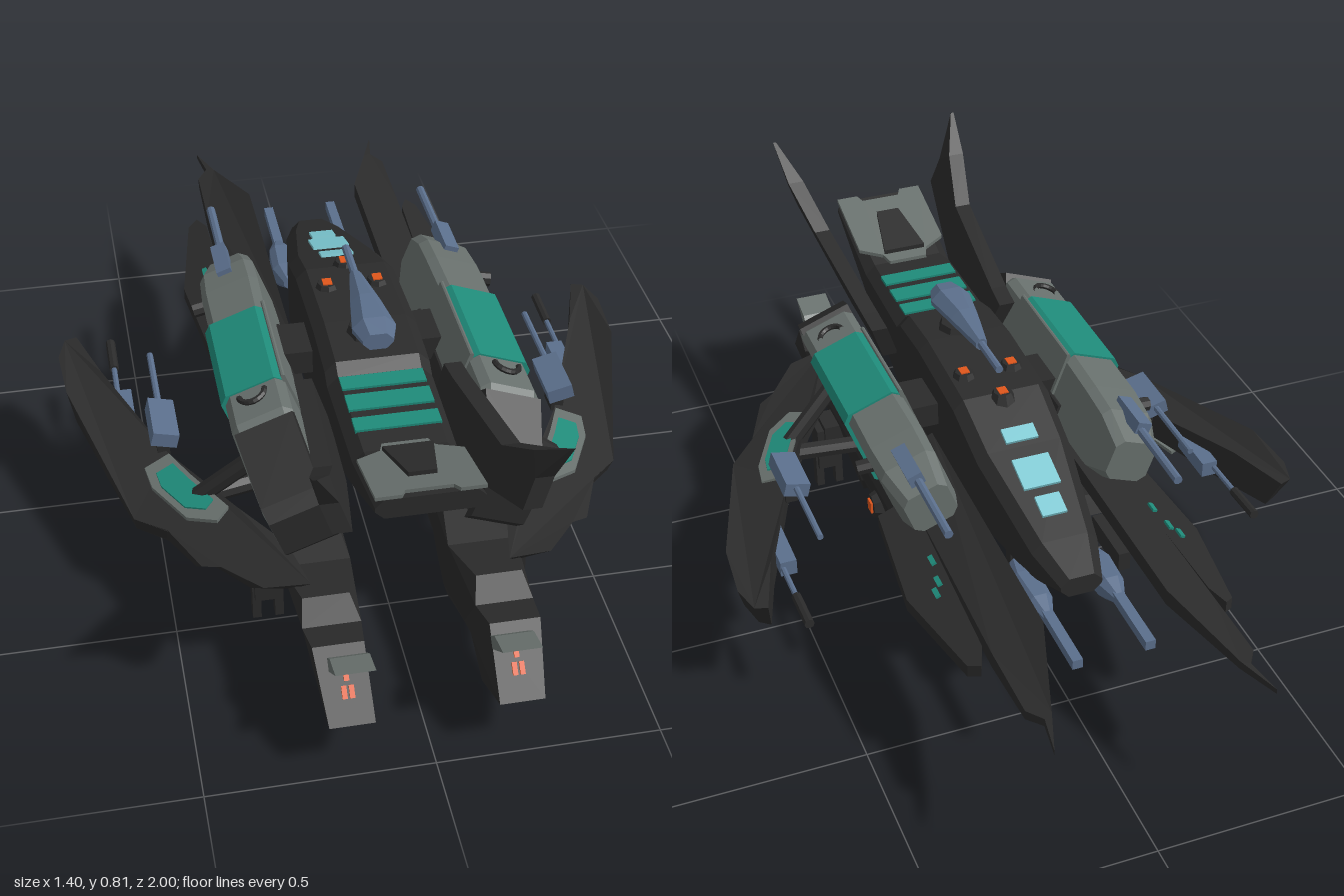
import * as THREE from 'three';

const mat = (name, color) => Object.assign(new THREE.MeshStandardMaterial({ color }), { name });

export function createModel() {
  const model = new THREE.Group();
  model.name = 'ship';
  const dark = mat('dark hull', 0x2b2b2b), grey = mat('grey armour', 0x68706d);
  const teal = mat('teal panels', 0x1f8b7a), blue = mat('blue gunmetal', 0x5b6f8c);
  const glass = mat('pale glass', 0x7cc8d2), orange = mat('orange lights', 0xe0561c);

  // Makes faces flat and outward, optionally mirrored in x
  function solid(source, mirror = false) {
    const g = source.index ? source.toNonIndexed() : source.clone();
    if (mirror) g.scale(-1, 1, 1);
    const p = g.attributes.position, v = [0, 1, 2].map(() => new THREE.Vector3());
    let volume = 0;
    for (let i = 0; i < p.count; i += 3) {
      v.forEach((q, k) => q.fromBufferAttribute(p, i + k));
      volume += v[0].dot(v[1].clone().cross(v[2]));
    }
    if (volume < 0) for (let i = 0; i < p.count; i += 3) {
      v.forEach((q, k) => q.fromBufferAttribute(p, i + k));
      p.setXYZ(i + 1, v[2].x, v[2].y, v[2].z);
      p.setXYZ(i + 2, v[1].x, v[1].y, v[1].z);
    }
    g.clearGroups();
    g.computeVertexNormals();
    return g;
  }
  function add(name, g, m, mirror = false) {
    const mesh = new THREE.Mesh(solid(g, mirror), m);
    mesh.name = name;
    model.add(mesh);
  }
  function pair(name, g, m) {
    add(name + 'Left', g, m);
    add(name + 'Right', g, m, true);
  }
  // Skin over equal-length rings of [x, y, z], closed at both ends
  function loft(rings) {
    const n = rings[0].length, index = [];
    for (let r = 0; r < rings.length - 1; r++) for (let i = 0; i < n; i++) {
      const a = r * n + i, b = r * n + (i + 1) % n;
      index.push(a, b, b + n, a, b + n, a + n);
    }
    const e = (rings.length - 1) * n;
    for (let i = 1; i < n - 1; i++) index.push(0, i + 1, i, e, e + i, e + i + 1);
    const g = new THREE.BufferGeometry();
    g.setAttribute('position', new THREE.Float32BufferAttribute(rings.flat(2), 3));
    g.setIndex(index);
    return g;
  }
  // Chamfered rectangular ring
  const ring = (z, w, y0, y1, c = 0.025, x = 0) => {
    const k = Math.min(c, (y1 - y0) * 0.4, w * 0.6);
    return [[w - k, y0], [w, y0 + k], [w, y1 - k], [w - k, y1], [k - w, y1], [-w, y1 - k], [-w, y0 + k], [k - w, y0]]
      .map(([a, b]) => [a + x, b, z]);
  };
  // Extruded outline whose points are placed by a rule f(u, v, t)
  function prism(points, f) {
    const g = new THREE.ExtrudeGeometry(new THREE.Shape(points.map(p => new THREE.Vector2(...p))), { depth: 1, bevelEnabled: false });
    const p = g.attributes.position;
    for (let i = 0; i < p.count; i++) p.setXYZ(i, ...f(p.getX(i), p.getY(i), p.getZ(i)));
    return g;
  }
  const box = (w, h, d, x, y, z, tilt = 0, pitch = 0) =>
    new THREE.BoxGeometry(w, h, d).rotateX(pitch).rotateZ(tilt).translate(x, y, z);
  function rod(a, b, r) {
    const A = new THREE.Vector3(...a), d = new THREE.Vector3(...b).sub(A);
    return new THREE.CylinderGeometry(r, r, d.length(), 8)
      .applyQuaternion(new THREE.Quaternion().setFromUnitVectors(new THREE.Vector3(0, 1, 0), d.clone().normalize()))
      .translate(...A.addScaledVector(d, 0.5).toArray());
  }

  // Central hull, rising into the tail
  add('hull', loft([[-0.55, 0.05, 0.37, 0.42], [-0.45, 0.08, 0.34, 0.455], [-0.2, 0.115, 0.33, 0.54],
    [-0.05, 0.12, 0.33, 0.595], [0.2, 0.12, 0.33, 0.61], [0.34, 0.12, 0.34, 0.6], [0.37, 0.12, 0.36, 0.58],
    [0.64, 0.115, 0.47, 0.58], [0.88, 0.115, 0.6, 0.648]].map(s => ring(...s))), dark);
  add('tailPlate', prism([[-0.05, 0.63], [0.05, 0.63], [0.06, 0.66], [0.115, 0.69], [0.115, 0.88], [0.06, 0.88], [0.05, 0.86], [-0.05, 0.86], [-0.06, 0.88], [-0.115, 0.88], [-0.115, 0.69], [-0.06, 0.66]],
    (x, z, t) => [x, 0.58 + Math.max(0, z - 0.64) * 0.283 + t * 0.009, z]), grey);
  add('tailHatch', prism([[-0.055, 0.66], [0.055, 0.66], [0.03, 0.8], [-0.03, 0.8]], (x, z, t) => [x, 0.58 + (z - 0.64) * 0.283 + t * 0.02, z]), dark);
  add('tailHatchCap', box(0.04, 0.02, 0.06, 0, 0.617, 0.74, 0, -0.28), grey);
  [[0.4, 0.045], [0.472, 0.055], [0.55, 0.045]].forEach(([z, d]) => add('tealStripe', box(0.19, 0.009, d, 0, 0.581, z), teal));

  // Cockpit windows and lights on the spine
  [[-0.365, 0.055, 0.06], [-0.275, 0.085, 0.09], [-0.17, 0.04, 0.08]].forEach(([z, d, w]) => {
    const slope = z < -0.2 ? 0.34 : 0.367;
    add('cockpitWindow', box(w, 0.009, d, 0, 0.54 + (z + 0.2) * slope + 0.003, z, 0, -Math.atan(slope)), glass);
  });
  [[0, -0.06, 0.59], [-0.06, 0.04, 0.598], [0.06, 0.04, 0.598]].forEach(([x, z, y]) => {
    add('sensorDome', new THREE.CylinderGeometry(0.022, 0.036, 0.03, 8).translate(x, y, z), dark);
    add('sensorLight', box(0.022, 0.008, 0.026, x, y + 0.014, z), orange);
  });

  // Top turret
  add('turretBase', new THREE.CylinderGeometry(0.045, 0.055, 0.025, 8).translate(0, 0.612, 0.24), dark);
  add('turret', loft([[0.35, 0.035, 0.63, 0.67], [0.3, 0.05, 0.62, 0.682], [0.2, 0.035, 0.625, 0.68], [0.08, 0.014, 0.635, 0.665]].map(s => ring(...s))), blue);
  add('turretBarrel', rod([0, 0.65, 0.1], [0, 0.652, -0.04], 0.01), blue);

  // Raised tail fins leaning outward
  pair('tailFin', prism([[0.35, 0.57], [0.42, 0.58], [0.75, 0.645], [0.88, 0.73], [0.98, 0.805], [0.93, 0.7], [0.94, 0.63], [0.76, 0.55], [0.62, 0.49], [0.38, 0.47]],
    (z, y, t) => [0.14 + (y - 0.48) * 0.345 + (t - 0.5) * (y > 0.75 ? 0.008 : 0.04), y, z]), dark);

  // Forward prongs, their outer edges lower
  pair('innerProng', prism([[0.25, -1], [0.215, -0.9], [0.145, -0.68], [0.14, 0.05], [0.25, 0.05], [0.262, -0.68], [0.262, -0.87], [0.235, -0.91]],
    (x, z, t) => {
      const k = Math.min(1, (z + 1) / 0.35);
      return [x, 0.39 + k * (0.045 - (x - 0.145) * 0.5) - (t - 0.2) * (0.012 + 0.03 * k), z];
    }), dark);
  pair('outerProng', prism([[0.29, -0.69], [0.27, -0.64], [0.25, -0.1], [0.33, -0.1], [0.36, -0.4], [0.315, -0.67]],
    (x, z, t) => [x, 0.385 - (x - 0.25) * 0.4 - t * 0.03, z]), dark);
  [[0.3, -0.43], [0.285, -0.4], [0.275, -0.33]].forEach(([x, z]) =>
    pair('prongMark', box(0.012, 0.008, 0.03, x, 0.387 - (x - 0.25) * 0.4, z, -0.38), teal));
  pair('noseGun', loft([[-0.37, 0.015, 0.33, 0.36], [-0.43, 0.034, 0.3, 0.37], [-0.52, 0.03, 0.31, 0.37], [-0.57, 0.012, 0.33, 0.355]].map(([z, w, a, b]) => ring(z, w, a, b, 0.015, 0.087))), blue);
  pair('noseGunBarrel', box(0.024, 0.024, 0.18, 0.086, 0.345, -0.645), blue);
  add('chin', loft([[-0.35, 0.06, 0.31, 0.36], [-0.1, 0.1, 0.29, 0.36], [0.15, 0.1, 0.29, 0.36]].map(s => ring(...s))), dark);

  // Side pods tilted outward at the top
  const tilt = 0.36, podX = 0.245, podY = 0.455;
  const podPoint = (u, v, z) => [podX + u * Math.cos(tilt) + v * Math.sin(tilt), podY - u * Math.sin(tilt) + v * Math.cos(tilt), z];
  const pod = list => loft(list.map(([z, w, a, b, x]) => ring(z, w, a, b, 0.018, x).map(([u, v]) => podPoint(u, v, z))));
  pair('podFront', pod([[0.65, 0.06, -0.1, -0.015], [0.62, 0.068, -0.115, 0.01], [0.45, 0.072, -0.115, 0.112], [0.34, 0.072, -0.115, 0.112]]), grey);
  pair('podMiddle', pod([[0.345, 0.076, -0.113, 0.116, 0.005], [0.06, 0.076, -0.113, 0.116, 0.005]]), teal);
  pair('podInnerPanel', pod([[0.35, 0.005, 0, 0.115, -0.073], [0.05, 0.005, 0, 0.115, -0.073]]), grey);
  pair('podInnerSkirt', pod([[0.5, 0.006, -0.135, 0, -0.073], [0.0, 0.006, -0.135, 0, -0.073]]), dark);
  pair('podRear', pod([[0.07, 0.071, -0.105, 0.111], [-0.08, 0.073, -0.1, 0.108], [-0.17, 0.07, -0.075, 0.1], [-0.255, 0.056, -0.04, 0.065]]), grey);
  // Dark plate wrapping the sloping front of each pod, row by row
  pair('podFrontCover', loft([[0.47, 0.104, 0.064], [0.625, 0.012, 0.064], [0.655, -0.013, 0.06], [0.655, -0.108, 0.06]].map(([z, v, w]) =>
    [[-w - 0.008, 0.006], [w, 0.006], [w, -0.02], [-w - 0.008, -0.02]].map(([u, d]) => podPoint(u, v + d, z + d)))), dark);
  pair('podKeel', pod([[0.6, 0.06, -0.135, -0.1], [0.0, 0.06, -0.135, -0.1]]), dark);
  pair('podGunBody', box(0.036, 0.03, 0.12, 0.28, 0.55, -0.19, -tilt), blue);
  pair('podGunBarrel', rod([0.275, 0.545, -0.2], [0.275, 0.542, -0.45], 0.011), blue);
  pair('podPipe', rod([0.3, 0.5, -0.09], [0.37, 0.49, -0.08], 0.018), dark);
  pair('podHandle', new THREE.TorusGeometry(0.03, 0.007, 6, 10, Math.PI).rotateX(Math.PI / 2).rotateZ(-tilt).translate(0.29, 0.568, 0.375), dark);
  pair('podBracket', box(0.1, 0.06, 0.12, 0.15, 0.49, 0.12), dark);

  // Lower booms with stepped feet
  const half = (y, z) => (0.03 + Math.min(y, 0.24) * 0.2 - Math.max(0, y - 0.25) * 0.5) * (z > 0.65 ? 0.82 : 1);
  pair('lowerBoom', prism([[1, 0.15], [0.88, 0.27], [0.8, 0.25], [0.74, 0.28], [0.6, 0.25], [0.45, 0.28], [0.2, 0.29], [-0.15, 0.31], [-0.17, 0.26], [-0.02, 0.2], [0.1, 0.12],
    [0.4, 0.12], [0.42, 0.06], [0.46, 0], [0.5, 0.005], [0.66, 0.07], [0.73, 0.1], [0.82, 0.04]],
    (z, y, t) => [0.172 + y * 0.07 + (t * 2 - 1) * half(y, z), y, z]), dark);
  pair('boomSpike', prism([[0.998, 0.3], [0.93, 0.282], [0.9, 0.255], [0.92, 0.235]], (z, y, t) => [0.133 + t * 0.085, y, z]), grey);
  [[0.175, 0.2], [0.191, 0.2], [0.183, 0.226]].forEach(([x, y]) =>
    pair('boomFrontLight', box(0.011, 0.028, 0.008, x, y, 1.151 - y, 0, -Math.PI / 4), orange));
  pair('boomSideDome', new THREE.CylinderGeometry(0.03, 0.045, 0.035, 8).rotateZ(-Math.PI / 2).translate(0.255, 0.185, 0.15), dark);
  pair('boomSideLight', box(0.008, 0.03, 0.028, 0.274, 0.187, 0.15), orange);

  // Swept lower wings: front halves fall outward, undersides form a keel
  const wing = [[0.65, -0.28], [0.68, -0.27], [0.7, -0.2], [0.69, -0.05], [0.62, 0.2], [0.57, 0.37], [0.5, 0.44], [0.44, 0.58], [0.4, 0.6], [0.32, 0.7], [0.22, 0.72], [0.25, 0.58], [0.34, 0.44], [0.47, 0.2], [0.6, -0.12]];
  const panel = [[0.53, 0.23], [0.47, 0.21], [0.43, 0.3], [0.36, 0.44], [0.39, 0.47], [0.455, 0.43], [0.52, 0.3]];
  const underPanel = [[0.57, 0.1], [0.53, 0.08], [0.43, 0.3], [0.37, 0.44], [0.4, 0.47], [0.47, 0.42], [0.55, 0.2]];
  const wingTop = (x, z) => z > 0.1 ? Math.min(0.3, 0.438 - z * 0.083 - x * 0.29) : 0.31;
  const keel = x => Math.min(0.24, 0.19 + Math.abs(x - 0.55) * 0.35);
  pair('wing', prism(wing, (x, z, t) => {
    const s = 0.9 + 0.1 * t, X = 0.52 + (x - 0.52) * s, Z = 0.15 + (z - 0.15) * s;
    return [X, t ? wingTop(X, Z) : keel(X), Z];
  }), dark);
  const inlay = (name, outline, cz, height, s, m) => pair(name, prism(outline, (x, z, t) => {
    const X = 0.455 + (x - 0.455) * s, Z = cz + (z - cz) * s;
    return [X, height(X, Z) + t * 0.009, Z];
  }), m);
  inlay('wingPanel', panel, 0.335, (x, z) => wingTop(x, z), 1, grey);
  inlay('wingPanelInset', panel, 0.335, (x, z) => wingTop(x, z) + 0.004, 0.68, teal);
  inlay('wingUnderPanel', underPanel, 0.3, x => keel(x) - 0.012, 1, grey);
  inlay('wingUnderInset', underPanel, 0.3, x => keel(x) - 0.016, 0.65, teal);
  pair('wingGunPost', box(0.03, 0.06, 0.06, 0.48, 0.3, 0.16), dark);
  pair('wingGun', box(0.062, 0.036, 0.14, 0.477, 0.34, 0.15, 0.25), blue);
  pair('wingGunBarrel', rod([0.478, 0.345, 0.1], [0.478, 0.345, -0.12], 0.008), blue);
  pair('innerGun', box(0.04, 0.04, 0.14, 0.552, 0.25, -0.02), blue);
  pair('innerGunBarrel', rod([0.565, 0.25, -0.05], [0.565, 0.255, -0.22], 0.007), blue);
  pair('innerGunMuzzle', rod([0.565, 0.255, -0.2], [0.565, 0.26, -0.31], 0.012), dark);

  // Struts joining hull, pods, booms and wings
  pair('wingStrut', rod([0.27, 0.42, 0.4], [0.42, 0.28, 0.36], 0.022), dark);
  pair('podStrut', rod([0.25, 0.42, 0.4], [0.24, 0.26, 0.42], 0.025), dark);
  pair('crossStrut', rod([0.17, 0.36, 0.3], [-0.13, 0.25, 0.3], 0.02), dark);
  pair('wingRootStrut', rod([0.2, 0.27, 0.3], [0.42, 0.26, 0.34], 0.022), dark);
  add('crossSleeve', box(0.1, 0.035, 0.045, -0.01, 0.295, 0.304, 0.35), grey);

  // Hanging forked guns
  function fork(y0, y1, x, z, spread) {
    const h = y1 - y0, parts = [box(spread * 2.4, h * 0.65, 0.06, x, y1 - h * 0.325, z)];
    for (const s of [-1, 1]) parts.push(box(0.02, h * 0.5, 0.03, x + s * spread, y0 + h * 0.25, z));
    return parts;
  }
  fork(0.15, 0.34, 0, -0.19, 0.024).forEach(g => add('chinFork', g, dark));
  fork(0.025, 0.21, 0.287, 0.5, 0.026).forEach(g => pair('boomFork', g, dark));
  pair('boomForkMount', box(0.06, 0.05, 0.08, 0.27, 0.2, 0.5), dark);
  pair('sideChinGun', box(0.03, 0.05, 0.16, 0.2, 0.25, -0.27), dark);
  return model;
}
